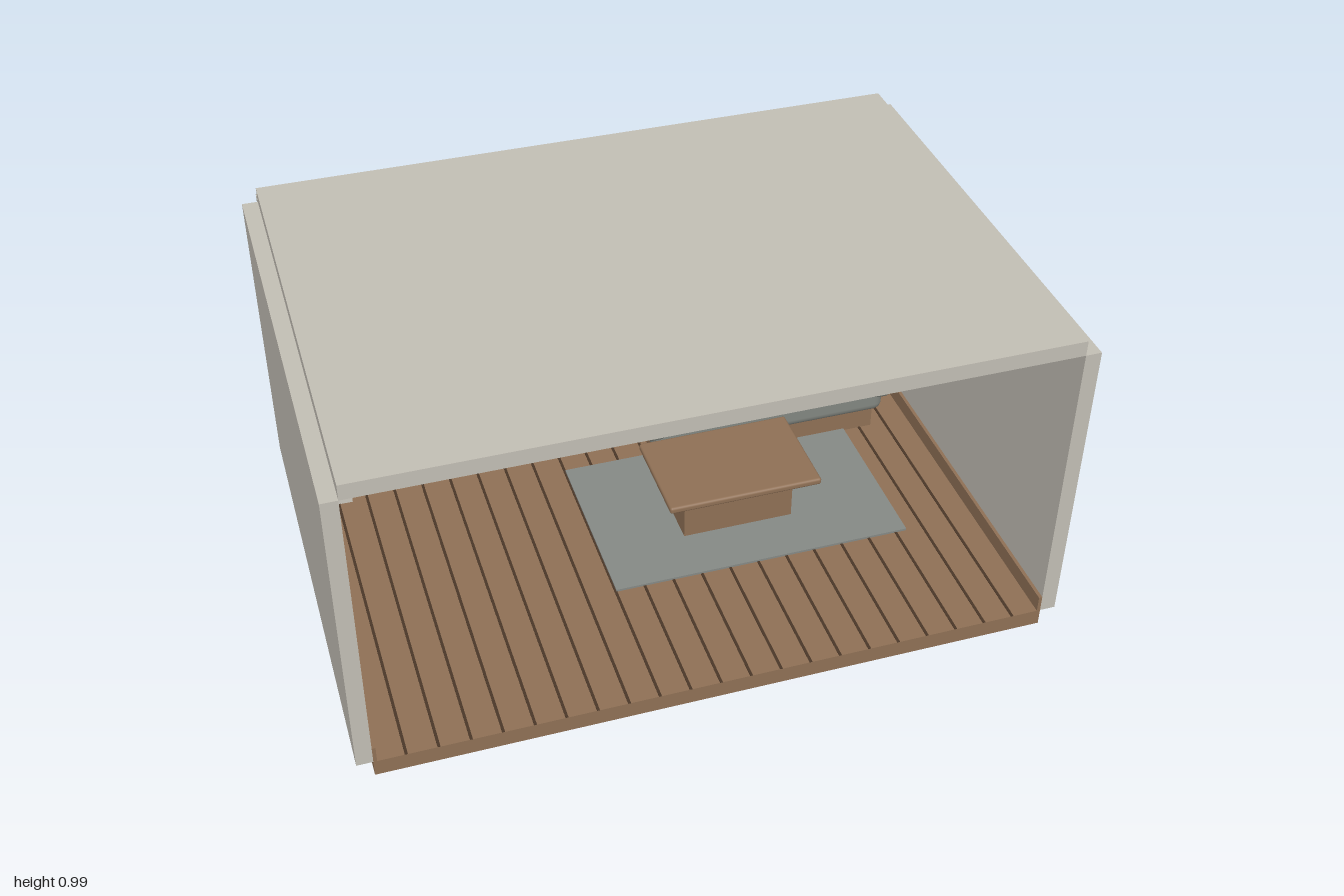
import * as THREE from 'three';
import { RoundedBoxGeometry } from 'three/addons/geometries/RoundedBoxGeometry.js';

const mat = (name, color, flatShading = false) => {
  const m = new THREE.MeshStandardMaterial({ color, flatShading });
  m.name = name;
  return m;
};

export function createModel() {
  const plaster = mat('plaster', 0xc2beb4);
  const wood = mat('wood', 0x8f7055);
  const darkWood = mat('dark wood', 0x4a3728);
  const fabric = mat('grey fabric', 0x828680);
  const ceramic = mat('grey ceramic', 0x757c7a, true);
  const linen = mat('pale linen', 0xcac6bd);
  const screenDark = mat('screen', 0x2d3635);
  const canvas = mat('tan canvas', 0xb3a380);
  const rugGrey = mat('rug grey', 0x858985);

  const room = new THREE.Group();
  room.name = 'livingRoom';

  const add = (parent, name, geometry, material, x = 0, y = 0, z = 0) => {
    const mesh = new THREE.Mesh(geometry, material);
    mesh.name = name;
    mesh.position.set(x, y, z);
    parent.add(mesh);
    return mesh;
  };
  // Box given by its extents, rounded when r > 0
  const box = (parent, name, material, x0, x1, y0, y1, z0, z1, r = 0) => {
    const size = [x1 - x0, y1 - y0, z1 - z0];
    const geometry = r ? new RoundedBoxGeometry(...size, 3, r) : new THREE.BoxGeometry(...size);
    return add(parent, name, geometry, material, (x0 + x1) / 2, (y0 + y1) / 2, (z0 + z1) / 2);
  };
  const group = (name) => {
    const g = new THREE.Group();
    g.name = name;
    room.add(g);
    return g;
  };

  // Shell, open at the front
  const W = 0.955, F = 0.705, B = -0.66;
  const shell = group('shell');
  box(shell, 'floor', wood, -W, W, 0, 0.05, B, F);
  box(shell, 'ceiling', plaster, -W, W, 0.945, 0.99, B, F);
  box(shell, 'backWall', plaster, -W, W, 0.05, 0.945, -F, B);
  box(shell, 'rightWall', plaster, -1, -W, 0.05, 0.945, B, F);
  box(shell, 'leftWall', plaster, W, 1, 0.05, 0.945, B, F);

  // Skirting boards
  box(shell, 'backSkirting', wood, -W, W, 0.05, 0.1, B, B + 0.01);
  box(shell, 'rightSkirting', wood, -W, -W + 0.01, 0.05, 0.1, B + 0.01, F);
  box(shell, 'leftSkirting', wood, W - 0.01, W, 0.05, 0.1, B + 0.01, F);

  // Dark seams between the floorboards
  const boards = 22;
  for (let i = 1; i < boards; i++) {
    const x = -W + (2 * W * i) / boards;
    box(shell, 'floorSeam', darkWood, x - 0.004, x + 0.004, 0.05, 0.0515, B + 0.01, F);
  }

  // Ceiling lamp
  add(room, 'ceilingLamp', new THREE.CylinderGeometry(0.148, 0.142, 0.018, 32), linen, 0, 0.935, 0);

  // Framed pictures on the back wall
  for (const x of [-0.7925, -0.5375, -0.2375]) {
    const picture = group('picture');
    box(picture, 'frame', darkWood, x - 0.093, x + 0.093, 0.622, 0.808, B, B + 0.015);
    box(picture, 'canvas', canvas, x - 0.085, x + 0.085, 0.63, 0.8, B + 0.015, B + 0.018);
  }

  // Media cabinet with television and books
  box(room, 'cabinet', wood, -0.86, -0.29, 0.05, 0.27, -0.65, -0.485);
  const television = group('television');
  box(television, 'screen', screenDark, -0.79, -0.358, 0.298, 0.545, -0.605, -0.58);
  box(television, 'stand', screenDark, -0.64, -0.51, 0.27, 0.3, -0.62, -0.565);
  const books = group('books');
  for (let i = 0; i < 5; i++) {
    const x = -0.786 + i * 0.027;
    const book = box(books, 'book', i % 2 ? linen : canvas, x, x + 0.017, 0.27, 0.355 + (i % 3) * 0.007, -0.56, -0.5);
    book.rotation.z = 0.02 * (i - 2);
  }

  // Vase on a pedestal
  const vase = group('vaseOnPedestal');
  box(vase, 'pedestal', linen, -0.912, -0.826, 0.05, 0.178, -0.42, -0.334);
  add(vase, 'vase', new THREE.SphereGeometry(0.075, 12, 8), ceramic, -0.869, 0.281, -0.377).scale.y = 1.47;

  // Rug and coffee table
  box(room, 'rug', rugGrey, -0.172, 0.728, 0.05, 0.057, -0.28, 0.28);
  const table = group('coffeeTable');
  box(table, 'tableTop', wood, 0.02, 0.486, 0.212, 0.234, -0.13, 0.185, 0.008);
  box(table, 'tableBase', wood, 0.085, 0.422, 0.057, 0.212, -0.07, 0.118);

  // Sofa
  const sofa = group('sofa');
  const cx = 0.466;
  box(sofa, 'plinth', wood, cx - 0.355, cx + 0.355, 0.05, 0.128, -0.6, -0.22);
  box(sofa, 'seat', fabric, cx - 0.38, cx + 0.38, 0.125, 0.22, -0.62, -0.19, 0.03);
  box(sofa, 'backrest', fabric, cx - 0.385, cx + 0.385, 0.15, 0.48, -0.64, -0.52, 0.03);
  for (const s of [-1, 1]) {
    const a = cx + s * 0.37;
    box(sofa, 'arm', fabric, a - 0.031, a + 0.031, 0.18, 0.375, -0.62, -0.18, 0.02);
    // Throw pillow, tilted and leaning on the backrest
    const pillow = box(sofa, 'pillow', linen, -0.1, 0.1, -0.083, 0.083, -0.03, 0.03, 0.024);
    pillow.position.set(cx + s * 0.186, 0.37, -0.475);
    pillow.rotation.set(-0.18, 0, s * 0.1);
  }
  return room;
}
